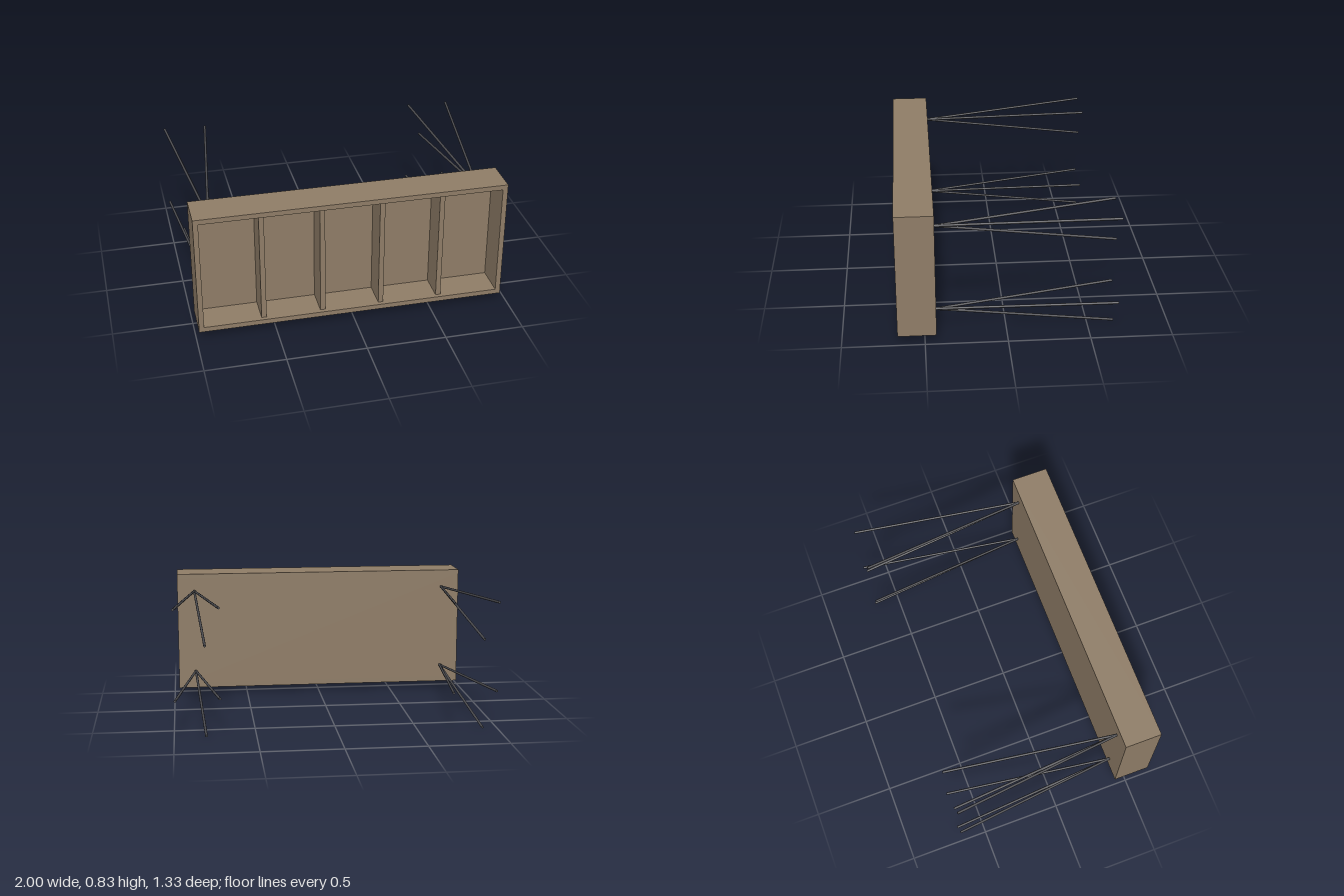
import * as THREE from 'three';

const wood = new THREE.MeshStandardMaterial({ color: 0x8f7d67, flatShading: true });
const metal = new THREE.MeshStandardMaterial({ color: 0x4a4a4e });

// Box given by its lower and upper corners
function board(name, [x0, y0, z0], [x1, y1, z1]) {
  const mesh = new THREE.Mesh(new THREE.BoxGeometry(x1 - x0, y1 - y0, z1 - z0), wood);
  mesh.position.set((x0 + x1) / 2, (y0 + y1) / 2, (z0 + z1) / 2);
  mesh.name = name;
  return mesh;
}

// Thin round rod between two points
function rod(name, from, to, radius) {
  const dir = to.clone().sub(from);
  const mesh = new THREE.Mesh(new THREE.CylinderGeometry(radius, radius, dir.length(), 10), metal);
  mesh.position.copy(from).addScaledVector(dir, 0.5);
  mesh.quaternion.setFromUnitVectors(new THREE.Vector3(0, 1, 0), dir.normalize());
  mesh.name = name;
  return mesh;
}

export function createModel() {
  const model = new THREE.Group();
  model.name = 'shelfUnit';

  // Open cabinet
  const L = -0.98, R = 0.968, B = 0.043, T = 0.836, back = 0.43, front = 0.665, t = 0.032;
  const cabinet = new THREE.Group();
  cabinet.name = 'cabinet';
  cabinet.add(
    board('bottomPanel', [L, B, back], [R, B + t, front]),
    board('topPanel', [L, T - t, back], [R, T, front]),
    board('rightPanel', [L, B + t, back], [L + t, T - t, front]),
    board('leftPanel', [R - t, B + t, back], [R, T - t, front]),
    board('backPanel', [L + t, B + t, back], [R - t, T - t, back + t])
  );

  // Dividers, set back slightly from the front edge
  for (const x of [-0.569, -0.195, 0.18, 0.559]) {
    cabinet.add(board('divider', [x - t / 2, B + t, back + t], [x + t / 2, T - t, front - 0.027]));
  }
  model.add(cabinet);

  // Four sets of three splayed rods behind the cabinet
  const splay = [[-0.134, 0.079], [-0.048, -0.151], [0.137, 0.073]];
  for (const x of [-0.859, 0.853]) {
    for (const y of [0.16, 0.719]) {
      const legSet = new THREE.Group();
      legSet.name = 'splayedLegs';
      for (const [dx, dy] of splay) {
        legSet.add(rod('leg', new THREE.Vector3(x, y, back + 0.003),
          new THREE.Vector3(x + dx, y + dy, -0.664), 0.008));
      }
      model.add(legSet);
    }
  }
  return model;
}
